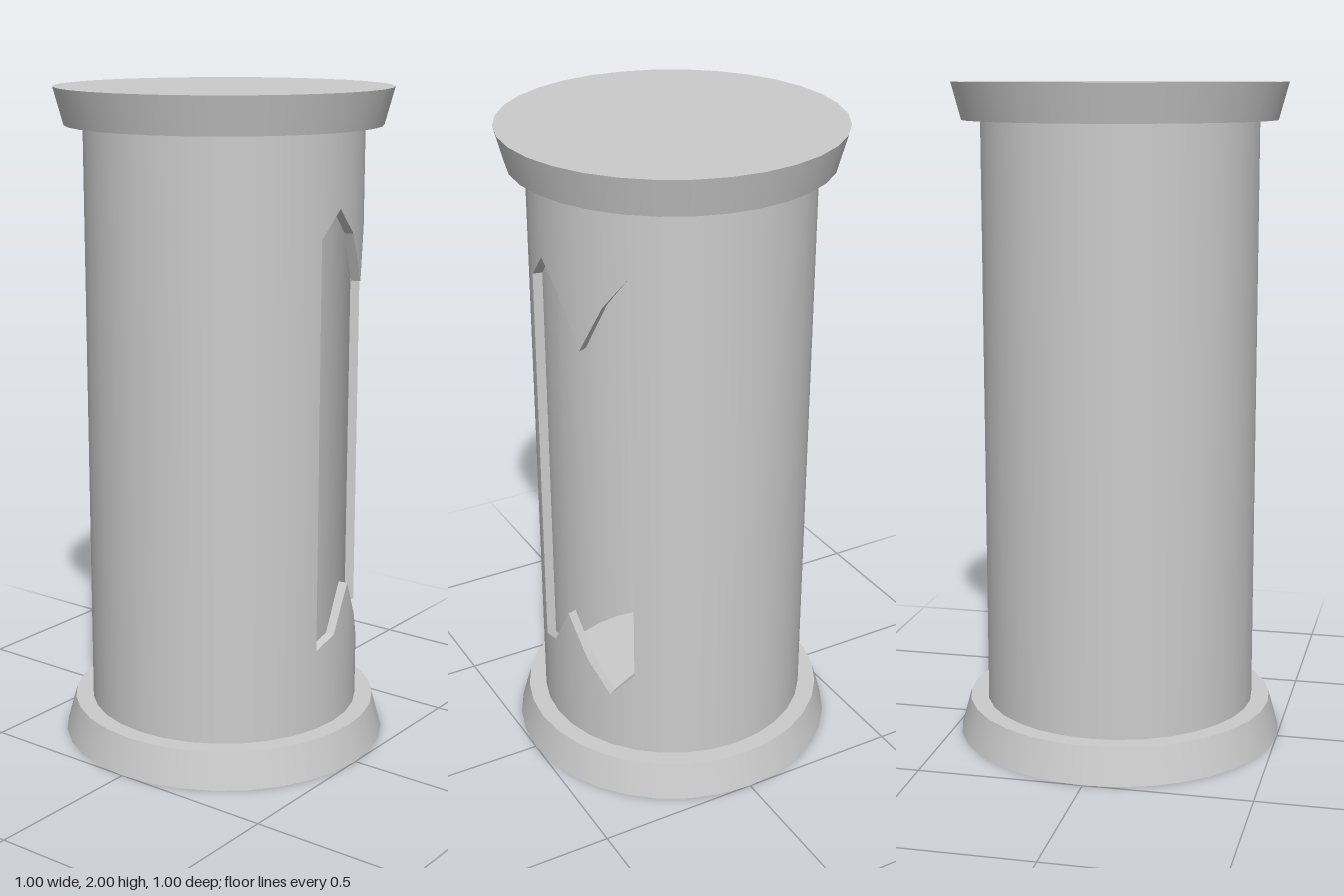
import * as THREE from 'three';

const SIDES = 32;
const OUTER = 0.415, INNER = 0.387;
const BASE_TOP = 0.11, CAP_BOTTOM = 1.89;

// Jagged opening: [sill height, lintel height] at each wall edge, from FIRST upwards
const FIRST = -4;
const OPENING = [[0.39, 1.69], [0.30, 1.59], [0.40, 1.44], [0.53, 1.59], [0.39, 1.67], [0.36, 1.59]];

function wallGeometry() {
  const positions = [], normals = [];
  const angle = k => (k / SIDES) * Math.PI * 2;
  const point = (r, k, y) => new THREE.Vector3(r * Math.cos(angle(k)), y, r * Math.sin(angle(k)));

  // Quad with corners counter-clockwise; round = 1 / -1 gives smooth outward / inward normals
  function quad(corners, round = 0) {
    const [a, b, c] = corners;
    const flat = b.clone().sub(a).cross(c.clone().sub(a)).normalize();
    for (const i of [0, 1, 2, 0, 2, 3]) {
      const p = corners[i];
      const n = round ? new THREE.Vector3(p.x, 0, p.z).normalize().multiplyScalar(round) : flat;
      positions.push(p.x, p.y, p.z);
      normals.push(n.x, n.y, n.z);
    }
  }

  // Outer and inner skin of one wall strip between edges k and k + 1
  function strip(k, low0, low1, high0, high1) {
    const corners = r => [point(r, k + 1, low1), point(r, k, low0), point(r, k, high0), point(r, k + 1, high1)];
    quad(corners(OUTER), 1);
    quad(corners(INNER).reverse(), -1);
  }

  // Broken edge between two heights, facing up (sill) or down (lintel)
  function rim(k, y0, y1, up) {
    const corners = [point(OUTER, k + 1, y1), point(OUTER, k, y0), point(INNER, k, y0), point(INNER, k + 1, y1)];
    quad(up ? corners : corners.reverse());
  }

  // Upright side of the opening
  function jamb(k, [low, high], flip) {
    const corners = [point(OUTER, k, low), point(INNER, k, low), point(INNER, k, high), point(OUTER, k, high)];
    quad(flip ? corners.reverse() : corners);
  }

  const last = FIRST + OPENING.length - 1;
  for (let k = FIRST; k < FIRST + SIDES; k++) {
    if (k >= last) {
      strip(k, BASE_TOP, BASE_TOP, CAP_BOTTOM, CAP_BOTTOM);
      continue;
    }
    const [low0, high0] = OPENING[k - FIRST];
    const [low1, high1] = OPENING[k - FIRST + 1];
    strip(k, BASE_TOP, BASE_TOP, low0, low1);
    strip(k, high0, high1, CAP_BOTTOM, CAP_BOTTOM);
    rim(k, low0, low1, true);
    rim(k, high0, high1, false);
  }
  jamb(FIRST, OPENING[0], true);
  jamb(last, OPENING[OPENING.length - 1], false);

  const geometry = new THREE.BufferGeometry();
  geometry.setAttribute('position', new THREE.Float32BufferAttribute(positions, 3));
  geometry.setAttribute('normal', new THREE.Float32BufferAttribute(normals, 3));
  return geometry;
}

export function createModel() {
  const group = new THREE.Group();
  group.name = 'brokenTube';
  const material = new THREE.MeshStandardMaterial({ color: 0xcccccc });

  function add(name, geometry, y = 0) {
    const mesh = new THREE.Mesh(geometry, material);
    mesh.name = name;
    mesh.position.y = y;
    group.add(mesh);
  }

  // Hollow tube with a jagged hole in its left side
  add('tubeWall', wallGeometry());

  // Tapered end plates, wide at the outer ends
  const height = BASE_TOP;
  add('basePlate', new THREE.CylinderGeometry(0.47, 0.5, height, SIDES), height / 2);
  add('topPlate', new THREE.CylinderGeometry(0.5, 0.47, height, SIDES), 2 - height / 2);

  return group;
}
